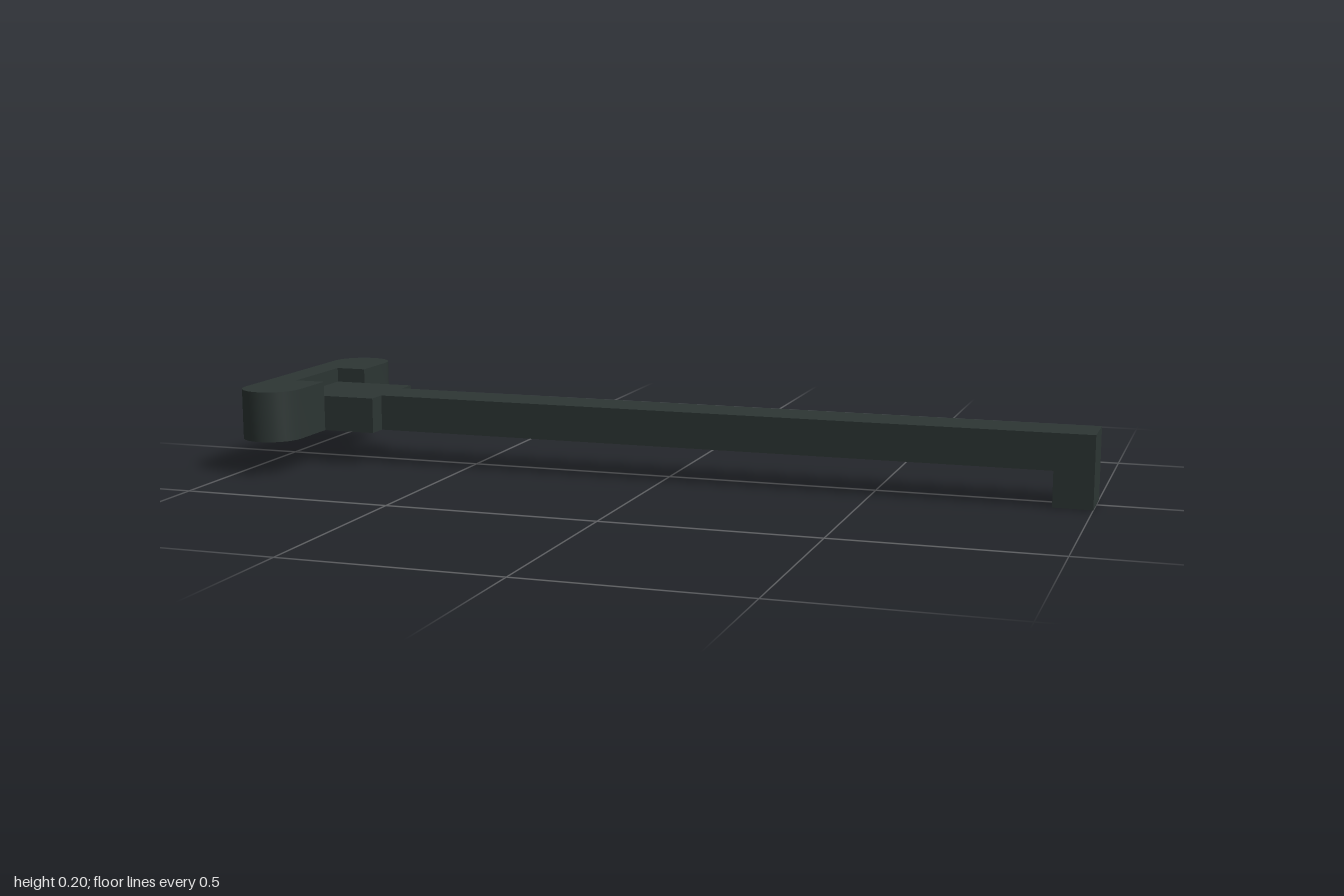
import * as THREE from 'three';
import { toCreasedNormals } from 'three/addons/utils/BufferGeometryUtils.js';

export function createModel() {
  const group = new THREE.Group();
  const metal = new THREE.MeshStandardMaterial({ color: 0x2d3634 });
  metal.name = 'dark metal';

  const add = (name, geometry) => {
    const mesh = new THREE.Mesh(geometry, metal);
    mesh.name = name;
    group.add(mesh);
    return mesh;
  };

  const bottom = 0.083, barTop = 0.168, handleTop = 0.203;

  // Cross handle: rounded ends, with a notch that takes the neck
  const back = -1, front = -0.855, notch = -0.93, neckHalf = 0.108;
  const r = (front - back) / 2, cx = (front + back) / 2, c = 0.229;
  const outline = new THREE.Shape();
  outline.moveTo(back, -c);
  outline.absarc(cx, -c, r, Math.PI, Math.PI * 2, false);
  outline.lineTo(front, -neckHalf);
  outline.lineTo(notch, -neckHalf);
  outline.lineTo(notch, neckHalf);
  outline.lineTo(front, neckHalf);
  outline.lineTo(front, c);
  outline.absarc(cx, c, r, 0, Math.PI, false);
  outline.closePath();
  const handle = new THREE.ExtrudeGeometry(outline, {
    depth: handleTop - bottom, bevelEnabled: false, curveSegments: 7,
  });
  handle.rotateX(-Math.PI / 2).translate(0, bottom, 0);
  add('handle', toCreasedNormals(handle, 0.7));

  // Neck block seated in the notch
  const neckEnd = -0.725;
  add('neck', new THREE.BoxGeometry(neckEnd - notch, barTop - bottom, neckHalf * 2))
    .position.set((neckEnd + notch) / 2, (barTop + bottom) / 2, 0);

  // Long bar with a downturned hook at its tip
  const barHalf = 0.059;
  const profile = new THREE.Shape([
    [neckEnd, bottom], [0.91, bottom], [0.91, 0], [1, 0], [1, barTop], [neckEnd, barTop],
  ].map(([x, y]) => new THREE.Vector2(x, y)));
  const bar = new THREE.ExtrudeGeometry(profile, { depth: barHalf * 2, bevelEnabled: false });
  add('hookedBar', bar.translate(0, 0, -barHalf));

  return group;
}
